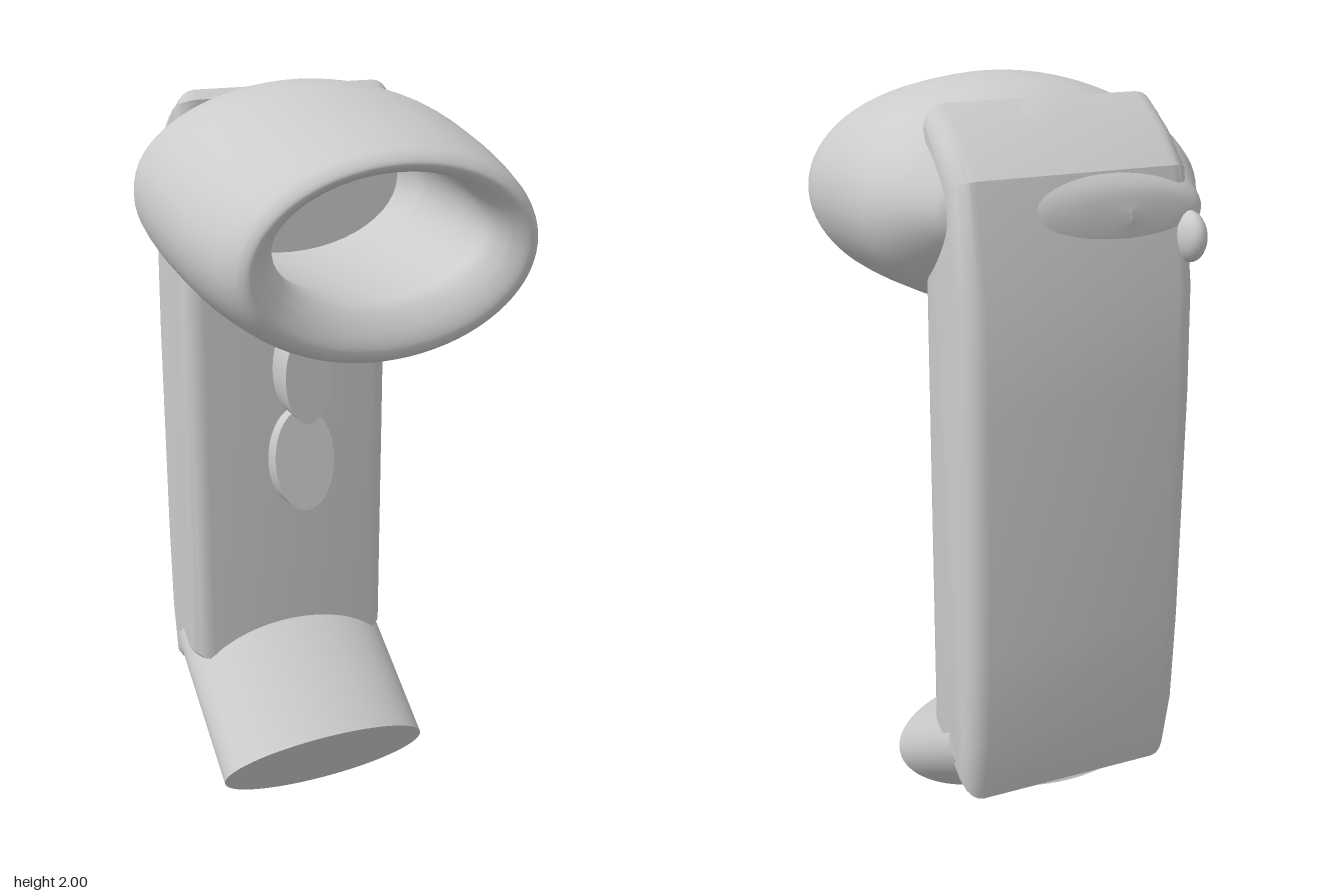
import * as THREE from 'three';
import { toCreasedNormals } from 'three/addons/utils/BufferGeometryUtils.js';
import { ParametricGeometry } from 'three/addons/geometries/ParametricGeometry.js';

const material = new THREE.MeshStandardMaterial({ color: 0xcccccc, side: THREE.DoubleSide });

function addPart(group, name, geometry) {
  const mesh = new THREE.Mesh(geometry, material);
  mesh.name = name;
  group.add(mesh);
  return mesh;
}

// Smooth skin over elliptical rings: [topZ, topY, bottomZ, bottomY, centreX, radiusX]
function loftEllipses(rings, around, along) {
  const curve = (pick) => new THREE.CatmullRomCurve3(rings.map(pick));
  const topCurve = curve((r) => new THREE.Vector3(0, r[1], r[0]));
  const bottomCurve = curve((r) => new THREE.Vector3(0, r[3], r[2]));
  const widthCurve = curve((r) => new THREE.Vector3(r[4], r[5], 0));
  return new ParametricGeometry((u, v, target) => {
    const a = u * Math.PI * 2;
    const top = topCurve.getPoint(v);
    const bottom = bottomCurve.getPoint(v);
    const width = widthCurve.getPoint(v);
    target.copy(bottom).lerp(top, 0.5 + 0.5 * Math.sin(a));
    target.x = width.x + width.y * Math.cos(a);
  }, around, along);
}

// Elliptical cylinder from a to b (both in the x = centre plane)
function ellipticRod(a, b, radiusX, radiusUp) {
  const length = a.distanceTo(b);
  const geometry = new THREE.CylinderGeometry(1, 1, length, 64);
  geometry.rotateX(Math.PI / 2);
  geometry.scale(radiusX, radiusUp, 1);
  const direction = b.clone().sub(a).normalize();
  geometry.rotateX(-Math.atan2(direction.y, direction.z));
  const middle = a.clone().lerp(b, 0.5);
  geometry.translate(middle.x, middle.y, middle.z);
  return geometry;
}

export function createModel() {
  const model = new THREE.Group();

  // Handle: side profile [z, y] extruded across x with rounded edges
  const profile = [
    [-0.18, 0.38], [-0.36, 0.28], [-0.42, 0.27], [-0.455, 0.45], [-0.465, 0.7],
    [-0.465, 1.3], [-0.455, 1.56], [-0.4, 1.83], [-0.31, 1.91], [-0.21, 1.97], [-0.18, 1.95],
  ];
  const shape = new THREE.Shape(profile.map(([z, y]) => new THREE.Vector2(-z, y)));
  const bevel = 0.05;
  const handle = new THREE.ExtrudeGeometry(shape, {
    depth: 0.58 - 2 * bevel, bevelEnabled: true, bevelSize: bevel,
    bevelThickness: bevel, bevelOffset: -bevel, bevelSegments: 5,
  });
  handle.translate(0, 0, -0.29 + bevel);
  handle.rotateY(Math.PI / 2);
  addPart(model, 'handle', toCreasedNormals(handle, 0.6));

  // Hollow head: closed back, barrel, rolled rim, then the inner wall
  addPart(model, 'head', loftEllipses([
    [-0.435, 1.74, -0.435, 1.72, -0.12, 0.002],
    [-0.42, 1.8, -0.42, 1.65, -0.1, 0.2],
    [-0.34, 1.88, -0.36, 1.62, -0.02, 0.315],
    [-0.25, 1.95, -0.27, 1.54, -0.005, 0.38],
    [-0.16, 1.988, -0.17, 1.475, 0, 0.416],
    [0.05, 2.0, 0.02, 1.443, 0, 0.43],
    [0.25, 1.968, 0.22, 1.425, 0, 0.421],
    [0.42, 1.93, 0.37, 1.423, 0, 0.388],
    [0.468, 1.912, 0.418, 1.435, 0, 0.365],
    [0.483, 1.89, 0.432, 1.46, 0, 0.34],
    [0.462, 1.872, 0.418, 1.51, 0, 0.3],
    [0.39, 1.87, 0.37, 1.56, 0, 0.266],
    [0.25, 1.885, 0.25, 1.56, 0, 0.28],
    [0.0, 1.9, 0.0, 1.55, 0, 0.3],
    [-0.19, 1.9, -0.19, 1.55, 0, 0.3],
  ], 72, 84));

  // Wall at the bottom of the head's cavity
  const floor = addPart(model, 'cavityFloor', new THREE.CircleGeometry(1, 48));
  floor.scale.set(0.3, 0.175, 1);
  floor.position.set(0, 1.725, -0.172);

  // Small lug where the head wraps round the handle
  const lug = addPart(model, 'rearLug', new THREE.SphereGeometry(1, 24, 16));
  lug.scale.set(0.035, 0.06, 0.06);
  lug.position.set(-0.275, 1.67, -0.425);

  // Angled oval foot
  addPart(model, 'foot', ellipticRod(
    new THREE.Vector3(0, 0.388, -0.34), new THREE.Vector3(0, 0.132, 0.06), 0.3, 0.15));

  // Oval buttons on the front of the handle
  addPart(model, 'upperButton', ellipticRod(
    new THREE.Vector3(0.012, 1.232, -0.22), new THREE.Vector3(0.012, 1.232, -0.082), 0.066, 0.132));
  addPart(model, 'lowerButton', ellipticRod(
    new THREE.Vector3(0.016, 0.965, -0.24), new THREE.Vector3(0.016, 0.98, -0.122), 0.086, 0.145));

  return model;
}
